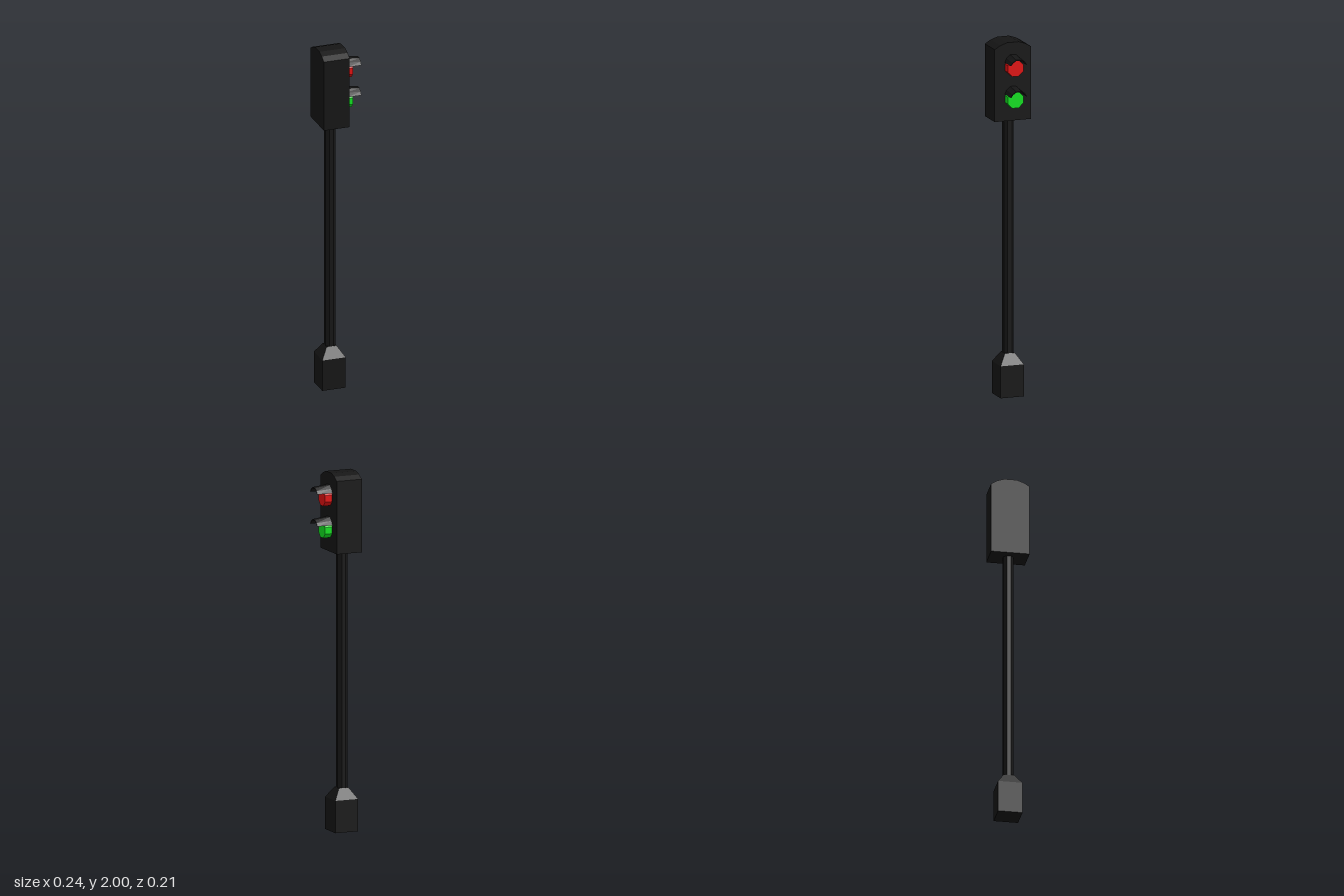
import * as THREE from 'three';

const paint = (color) => new THREE.MeshStandardMaterial({ color, flatShading: true });

export function createModel() {
  const group = new THREE.Group();
  const black = paint(0x151515);
  const poleX = -0.047;

  const add = (name, geometry, material, x = 0, y = 0, z = 0) => {
    const mesh = new THREE.Mesh(geometry, material);
    mesh.name = name;
    mesh.position.set(x, y, z);
    group.add(mesh);
    return mesh;
  };

  // Turns a (z, y) outline into a solid running along +x
  const alongX = (points, length) => {
    const shape = new THREE.Shape(points.map(([z, y]) => new THREE.Vector2(-z, y)));
    return new THREE.ExtrudeGeometry(shape, { depth: length, bevelEnabled: false }).rotateY(Math.PI / 2);
  };

  // Square base with a tapered shoulder
  add('base', new THREE.BoxGeometry(0.136, 0.18, 0.136), black, poleX, 0.09);
  const shoulder = new THREE.CylinderGeometry(0.029 * Math.SQRT2, 0.068 * Math.SQRT2, 0.06, 4).rotateY(Math.PI / 4);
  add('baseShoulder', shoulder, black, poleX, 0.21);

  // Octagonal pole, flats facing the axes
  add('pole', new THREE.CylinderGeometry(0.031, 0.031, 1.36, 8).rotateY(Math.PI / 8), black, poleX, 0.9);

  // Signal housing with a faceted crown
  const crown = [[0.107, 1.967], [0.073, 1.987], [0.035, 2]];
  const mirrored = crown.map(([z, y]) => [-z, y]).reverse();
  const housing = [[0.107, 1.56], ...crown, ...mirrored, [-0.107, 1.56]];
  add('housing', alongX(housing, 0.15), black, -0.12);

  // Thin arched hood whose crest dips toward the tip
  const makeHood = () => {
    const outer = [[0.048, 0.028], [0.037, 0.051], [0.016, 0.069]];
    const inner = [[0.043, 0.028], [0.033, 0.047], [0.014, 0.063]];
    const flip = (p) => p.map(([z, y]) => [-z, y]).reverse();
    const arch = [...outer, ...flip(outer), ...flip(flip(inner)).map(([z, y]) => [-z, y]).reverse()];
    const half = arch.slice(0, 6);
    const geometry = alongX([...half, ...inner.map(([z, y]) => [-z, y]), ...[...inner].reverse()], 0.09);
    const pos = geometry.attributes.position;
    for (let i = 0; i < pos.count; i++) {
      const drop = Math.max(0, pos.getX(i) - 0.04) / 0.05;
      pos.setY(i, 0.028 + (pos.getY(i) - 0.028) * (1 - 0.25 * drop));
    }
    geometry.computeVertexNormals();
    return geometry;
  };

  // Octagonal lamps, each under its hood
  const lamps = [
    ['red', 0xe01010, 1.862],
    ['green', 0x10e020, 1.684],
  ];
  for (const [name, color, y] of lamps) {
    const lens = new THREE.CylinderGeometry(0.049, 0.049, 0.05, 8).rotateY(Math.PI / 8).rotateZ(Math.PI / 2);
    add(name + 'Lamp', lens, paint(color), 0.047, y);
    add(name + 'Hood', makeHood(), black, 0.03, y);
  }

  return group;
}
